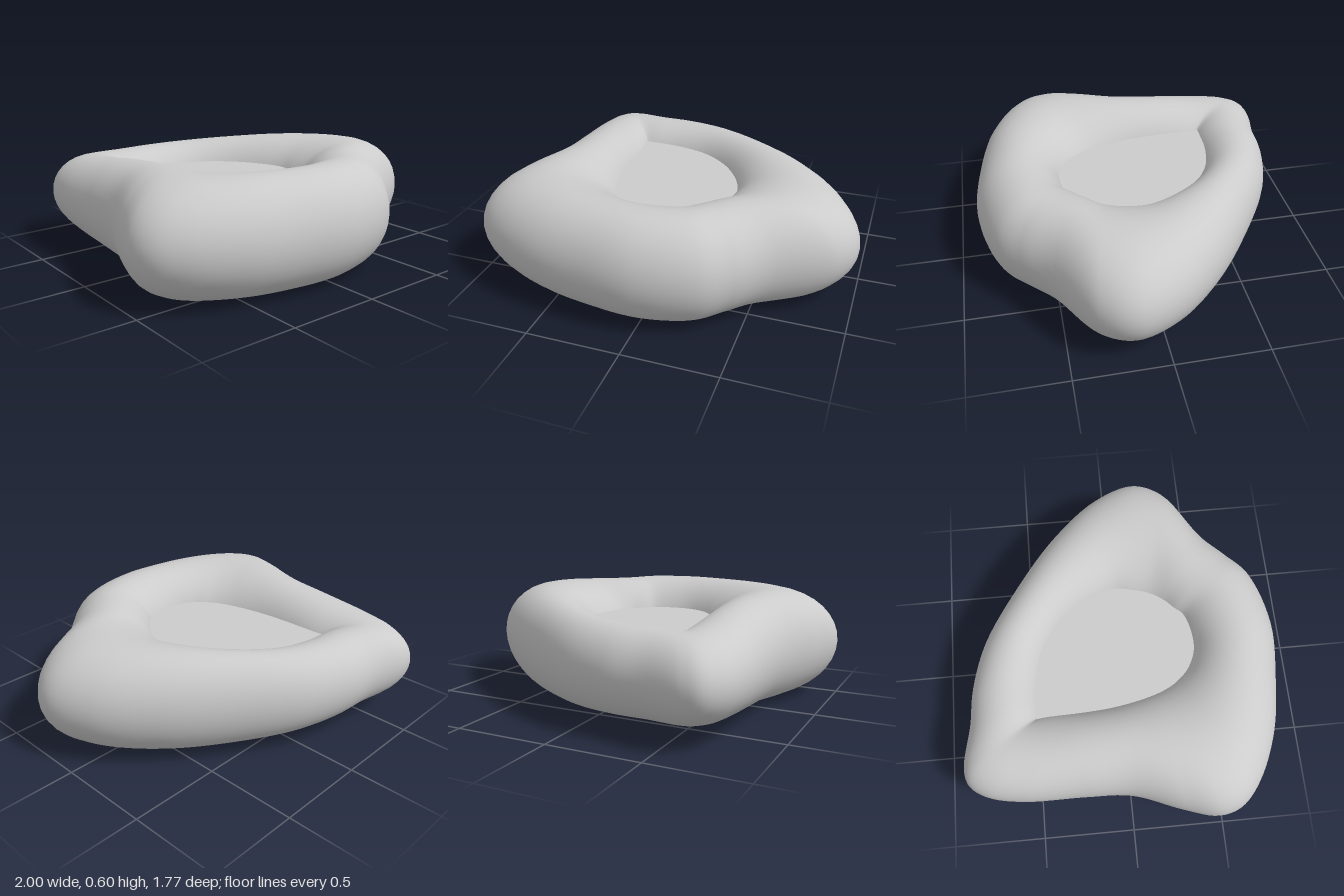
import * as THREE from 'three';
import { ParametricGeometry } from 'three/addons/geometries/ParametricGeometry.js';

const MID = 0.3;     // height of the ring's centre line
const FLOOR = 0.43;  // height of the floor inside the ring

// Stations round the ring: outer x, z, inner x, z (at the floor), half height
const STATIONS = [
  [-0.63, -0.885, -0.42, -0.475, 0.215],
  [-0.40, -0.845, -0.36, -0.475, 0.22],
  [-0.20, -0.825, -0.20, -0.465, 0.225],
  [0.06, -0.745, -0.02, -0.415, 0.235],
  [0.38, -0.55, 0.14, -0.30, 0.255],
  [0.68, -0.32, 0.25, -0.14, 0.275],
  [0.91, -0.06, 0.295, 0.00, 0.285],
  [0.998, 0.18, 0.28, 0.10, 0.29],
  [0.92, 0.35, 0.25, 0.20, 0.29],
  [0.60, 0.555, 0.20, 0.28, 0.29],
  [0.47, 0.68, 0.15, 0.33, 0.29],
  [0.33, 0.80, 0.10, 0.38, 0.295],
  [0.02, 0.88, -0.04, 0.413, 0.298],
  [-0.30, 0.855, -0.13, 0.405, 0.298],
  [-0.60, 0.795, -0.22, 0.36, 0.298],
  [-0.85, 0.68, -0.27, 0.31, 0.298],
  [-0.965, 0.57, -0.30, 0.27, 0.298],
  [-0.998, 0.45, -0.33, 0.21, 0.298],
  [-0.95, 0.27, -0.36, 0.12, 0.295],
  [-0.85, 0.00, -0.395, -0.05, 0.28],
  [-0.835, -0.25, -0.41, -0.22, 0.26],
  [-0.83, -0.58, -0.415, -0.40, 0.23],
  [-0.79, -0.77, -0.42, -0.455, 0.22],
  [-0.72, -0.865, -0.423, -0.47, 0.215],
];

const loop = (pick) => new THREE.CatmullRomCurve3(
  STATIONS.map((s) => new THREE.Vector3(...pick(s))), true, 'centripetal');

export function createModel() {
  const group = new THREE.Group();
  const material = new THREE.MeshStandardMaterial({ color: 0xcccccc, side: THREE.DoubleSide });

  // The outer loop carries the half height in y
  const outer = loop(([x, z, , , h]) => [x, h, z]);
  const inner = loop(([, , x, z]) => [x, 0, z]);

  // Inflated ring: an elliptical section spanning the two loops
  const o = new THREE.Vector3();
  const i = new THREE.Vector3();
  const ringGeometry = new ParametricGeometry((u, v, target) => {
    outer.getPoint(u % 1, o);
    inner.getPoint(u % 1, i);
    const h = o.y;
    const a = -v * Math.PI * 2;
    // The section passes through the inner loop at floor height
    const c = Math.sqrt(1 - ((FLOOR - MID) / h) ** 2);
    const k = (1 - Math.cos(a)) / (1 + c);
    target.set(o.x + (i.x - o.x) * k, MID + h * Math.sin(a), o.z + (i.z - o.z) * k);
  }, 144, 36);
  const ring = new THREE.Mesh(ringGeometry, material);
  ring.name = 'inflatedRing';
  group.add(ring);

  // Flat floor closing the opening, tucked slightly into the ring
  const edge = inner.getPoints(96).slice(0, -1)
    .map((p) => new THREE.Vector2(p.x * 1.01, -p.z * 1.01));
  const floorGeometry = new THREE.ShapeGeometry(new THREE.Shape(edge));
  floorGeometry.rotateX(-Math.PI / 2);
  const floor = new THREE.Mesh(floorGeometry, material);
  floor.position.y = FLOOR;
  floor.name = 'floor';
  group.add(floor);

  return group;
}
